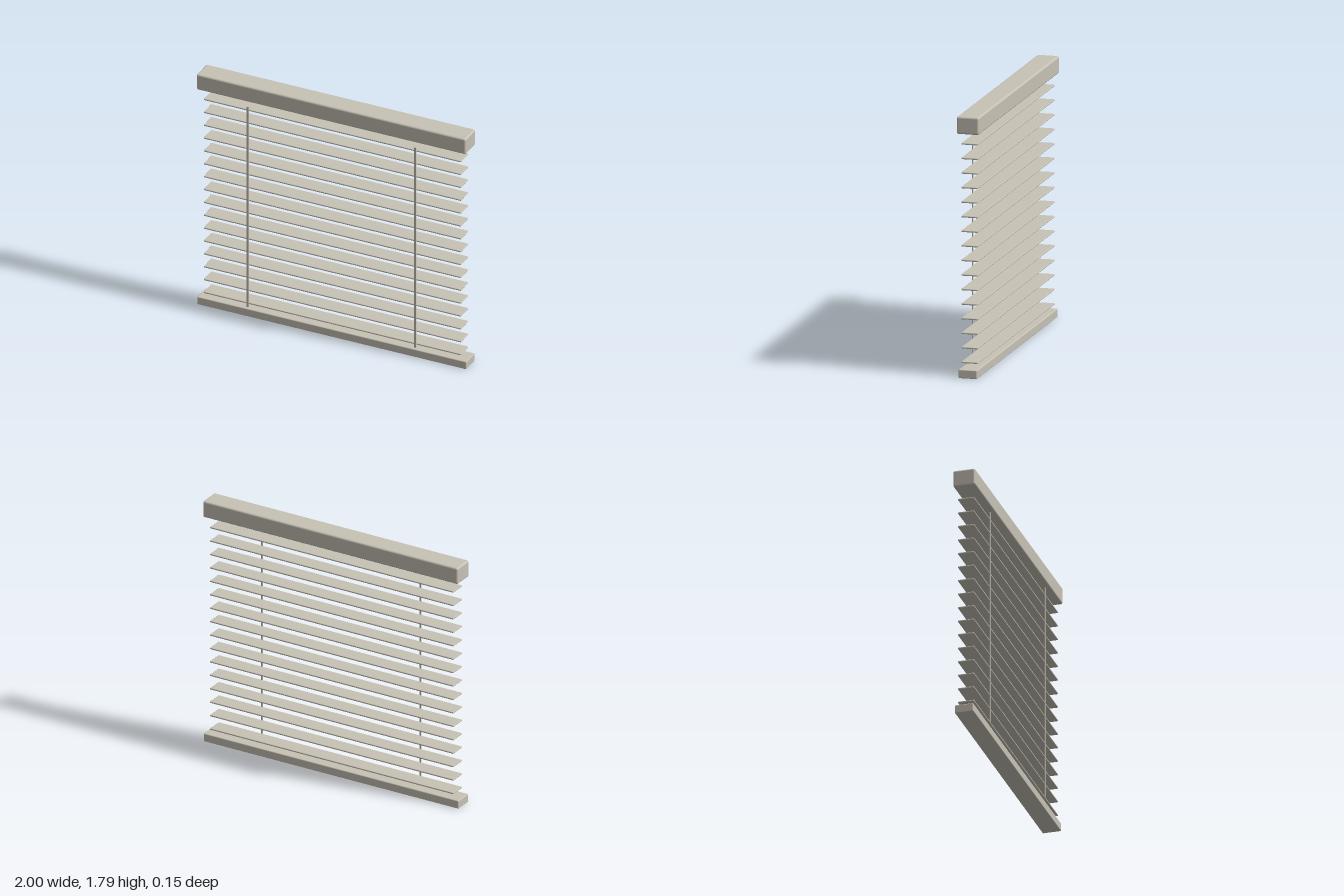
import * as THREE from 'three';
import { RoundedBoxGeometry } from 'three/addons/geometries/RoundedBoxGeometry.js';

export function createModel() {
  const model = new THREE.Group();
  model.name = 'windowBlind';

  const paint = new THREE.MeshStandardMaterial({ color: 0xc8c2b5 });
  paint.name = 'warm grey';

  function add(name, geometry, x, y, z) {
    const mesh = new THREE.Mesh(geometry, paint);
    mesh.name = name;
    mesh.position.set(x, y, z);
    model.add(mesh);
  }

  // Rails at the top and bottom, with softly rounded edges
  add('headRail', new RoundedBoxGeometry(2, 0.12, 0.154, 3, 0.013), 0, 1.735, 0);
  add('bottomRail', new RoundedBoxGeometry(2, 0.06, 0.13, 3, 0.007), 0, 0.03, 0);

  // Sixteen level slats, evenly spaced
  const slat = new RoundedBoxGeometry(1.91, 0.011, 0.114, 2, 0.004);
  for (let i = 1; i <= 16; i++) add(`slat${i}`, slat, 0, i * 0.1, 0);

  // Two cords hanging just in front of the slats
  const cord = new THREE.BoxGeometry(0.013, 1.555, 0.007);
  add('rightCord', cord, -0.622, 0.857, 0.069);
  add('leftCord', cord, 0.622, 0.857, 0.069);

  return model;
}
